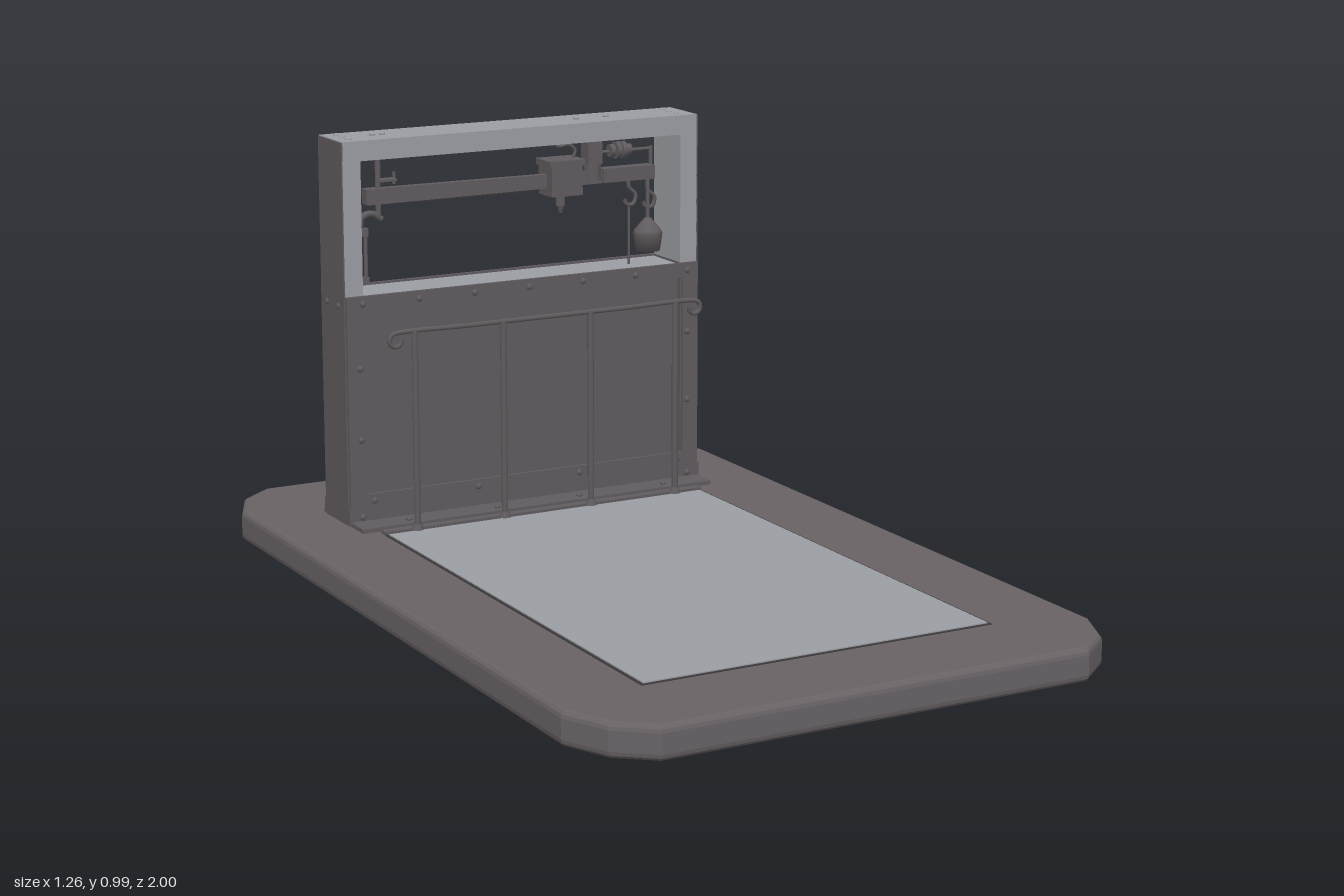
import * as THREE from 'three';

const V = (x, y, z) => new THREE.Vector3(x, y, z);

export function createModel() {
  const root = new THREE.Group();
  root.name = 'platformScale';
  const mat = (name, color) => {
    const m = new THREE.MeshStandardMaterial({ color });
    m.name = name;
    return m;
  };
  const stone = mat('base grey', 0x686265);
  const iron = mat('dark iron', 0x605b5e);
  const steel = mat('bright steel', 0x9a9da3);
  const seam = mat('seam', 0x3c393b);

  const add = (name, geo, m, x = 0, y = 0, z = 0, parent = root) => {
    const mesh = new THREE.Mesh(geo, m);
    mesh.name = name;
    mesh.position.set(x, y, z);
    parent.add(mesh);
    return mesh;
  };
  // box given by its limits
  const box = (name, m, x0, x1, y0, y1, z0, z1) =>
    add(name, new THREE.BoxGeometry(x1 - x0, y1 - y0, z1 - z0), m, (x0 + x1) / 2, (y0 + y1) / 2, (z0 + z1) / 2);
  const tube = (name, pts, r, m = iron, seg = 24) =>
    add(name, new THREE.TubeGeometry(new THREE.CatmullRomCurve3(pts), seg, r, 6), m);
  const rod = (name, x, y0, y1, z, r, m = iron) =>
    add(name, new THREE.CylinderGeometry(r, r, y1 - y0, 8), m, x, (y0 + y1) / 2, z);
  const rivet = (x, y, z, axis, m = iron) => {
    const r = add('rivet', new THREE.SphereGeometry(0.008, 8, 5), m, x, y, z);
    r.scale[axis] = 0.7;
  };

  // rounded slab
  const outline = new THREE.Shape();
  const corner = [[0.62, 0.82], [0.575, 0.92], [0.5, 0.98]];
  const ring = [
    ...corner,
    ...corner.map(([x, y]) => [-x, y]).reverse(),
    ...corner.map(([x, y]) => [-x, -y]),
    ...corner.map(([x, y]) => [x, -y]).reverse(),
  ];
  outline.setFromPoints(ring.map(([x, y]) => new THREE.Vector2(x, y)));
  const slab = new THREE.ExtrudeGeometry(outline, {
    depth: 0.043, bevelEnabled: true, bevelThickness: 0.016, bevelSize: 0.014, bevelSegments: 3,
  });
  slab.rotateX(-Math.PI / 2);
  add('base', slab, stone, 0, 0.016, 0).scale.set(0.995, 1, 1.006);

  // weighing plate with a dark gap around it
  box('plateGap', seam, -0.421, 0.419, 0.07, 0.0765, -0.466, 0.771);
  box('weighingPlate', steel, -0.414, 0.412, 0.07, 0.079, -0.458, 0.764);

  // frame
  const [L, R, B, F] = [-0.46, 0.468, -0.71, -0.578];
  for (const [x0, x1, o0, o1] of [[L, L + 0.045, L - 0.003, L + 0.001], [R - 0.045, R, R - 0.001, R + 0.003]]) {
    box('post', steel, x0, x1, 0.62, 0.935, B, F);
    box('lowerPost', iron, x0, x1, 0.075, 0.62, B, F);
    box('sidePlate', iron, o0, o1, 0.075, 0.978, B, F);
  }
  box('topBeam', steel, L, R, 0.933, 0.98, B, F);
  box('shelf', steel, L + 0.045, R - 0.045, 0.6, 0.615, B, F);

  // lower cabinet with recessed panels and raised trim
  box('cabinetPanel', iron, L + 0.02, R - 0.02, 0.08, 0.6, B + 0.012, F - 0.012);
  for (const [z0, z1, out] of [[F, F + 0.008, F + 0.01], [B - 0.008, B, B - 0.01]]) {
    box('upperTrim', iron, L, R, 0.585, 0.62, z0, z1);
    box('lowerTrim', iron, L, R, 0.115, 0.148, z0, z1);
    box('footTrim', iron, L - 0.003, R + 0.005, 0.078, 0.115, z0, z1);
    box('leftTrim', iron, L, L + 0.042, 0.115, 0.6, z0, z1);
    box('rightTrim', iron, R - 0.042, R, 0.115, 0.6, z0, z1);
    for (let i = 0; i < 7; i++) rivet(-0.42 + i * 0.143, 0.602, out, 'z');
    for (let i = 0; i < 4; i++) rivet(-0.4 + i * 0.27, 0.132, out, 'z');
    for (const x of [L + 0.03, R - 0.03]) for (const y of [0.095, 0.28, 0.45]) rivet(x, y, out, 'z');
  }
  box('frontFlange', iron, L, R, 0.07, 0.085, F, -0.502);
  box('backFlange', iron, L, R, 0.07, 0.083, -0.728, B);
  for (const x of [-0.33, -0.1, 0.12, 0.35]) rivet(x, 0.087, -0.53, 'y');
  for (const x of [L + 0.03, R - 0.04]) for (const z of [-0.68, -0.645, -0.61]) rivet(x, 0.98, z, 'y', steel);
  for (const x of [-0.355, -0.33, 0.175, 0.255]) rivet(x, 0.982, -0.645, 'y', steel);
  for (const x of [L - 0.003, R + 0.003]) for (const z of [-0.675, -0.61]) rivet(x, 0.595, z, 'x');

  // hand rail with scrolled ends
  const rz = -0.465;
  const railPath = [];
  const scroll = (cx, side) => {
    const pts = [];
    for (let i = 0; i <= 8; i++) {
      const a = Math.PI / 2 - i * Math.PI * 0.19;
      const r = 0.018 - i * 0.0006;
      pts.push(V(cx + side * Math.cos(a) * r, 0.532 + Math.sin(a) * r, rz));
    }
    return pts;
  };
  railPath.push(...scroll(-0.385, -1).reverse(), V(-0.2, 0.55, rz), V(0, 0.55, rz), V(0.2, 0.55, rz), ...scroll(0.398, 1));
  tube('handRail', railPath, 0.006, iron, 120);
  for (const x of [-0.338, -0.112, 0.117, 0.346]) {
    rod('railPost', x, 0.078, 0.55, rz, 0.008);
    add('railFoot', new THREE.CylinderGeometry(0.009, 0.015, 0.016, 10), iron, x, 0.085, rz);
  }
  box('railSill', iron, -0.42, 0.42, 0.072, 0.083, -0.488, -0.466);

  // balance beam, tapering to the left
  const z = -0.645;
  const bar = new THREE.BoxGeometry(0.76, 0.038, 0.018);
  const p = bar.attributes.position;
  for (let i = 0; i < p.count; i++) if (p.getX(i) > 0) p.setY(i, p.getY(i) * 0.8);
  add('balanceBeam', bar, iron, 0.005, 0.837, z);
  for (let i = 0; i < 30; i++) box('beamNotch', seam, -0.25 + i * 0.011, -0.245 + i * 0.011, 0.815, 0.822, z - 0.006, z + 0.006);
  box('beamTip', iron, -0.378, -0.345, 0.82, 0.856, z - 0.014, z + 0.014);
  box('beamHead', iron, 0.24, 0.38, 0.822, 0.856, z - 0.016, z + 0.016);

  // sliding poise
  box('poise', iron, 0.092, 0.174, 0.802, 0.884, z - 0.035, z + 0.035);
  box('poiseCap', iron, 0.086, 0.18, 0.873, 0.888, z - 0.038, z + 0.038);
  rod('poiseStem', 0.132, 0.775, 0.805, z, 0.012);
  add('poiseTip', new THREE.CylinderGeometry(0.011, 0.004, 0.022, 8), iron, 0.132, 0.768, z);
  tube('poiseWire', [V(0.11, 0.93, z), V(0.125, 0.918, z), V(0.155, 0.92, z), V(0.172, 0.905, z), V(0.165, 0.885, z)], 0.004);

  // pivot bracket and counterweight
  box('pivotHanger', iron, 0.198, 0.236, 0.87, 0.935, z - 0.02, z + 0.02);
  rod('pivotStem', 0.218, 0.83, 0.88, z, 0.022);
  const screw = rod('counterScrew', 0.3, 0.82, 0.97, z, 0.004);
  screw.rotation.z = Math.PI / 2;
  screw.position.y = 0.895;
  for (const [x, r] of [[0.27, 0.016], [0.285, 0.021], [0.3, 0.021], [0.315, 0.014]]) {
    const disc = add('counterweight', new THREE.CylinderGeometry(r, r, 0.012, 12), iron, x, 0.897, z);
    disc.rotation.z = Math.PI / 2;
  }
  rod('screwSupport', 0.378, 0.835, 0.9, z, 0.005);

  // hooks, hanging rods and bell weight
  const hook = (x, y) => tube('hook', [V(x, y + 0.05, z), V(x, y + 0.02, z), V(x + 0.018, y, z),
    V(x + 0.012, y - 0.022, z), V(x - 0.006, y - 0.022, z), V(x - 0.014, y - 0.008, z)], 0.005);
  hook(0.318, 0.785);
  rod('hangingRod', 0.318, 0.615, 0.765, z, 0.003);
  hook(0.37, 0.775);
  rod('weightRod', 0.37, 0.71, 0.83, z, 0.005);
  const bell = [[0, 0], [0.03, 0], [0.036, 0.042], [0.033, 0.05], [0.018, 0.068], [0.007, 0.08], [0, 0.083]];
  add('bellWeight', new THREE.LatheGeometry(bell.map(([x, y]) => new THREE.Vector2(x, y)), 20), iron, 0.37, 0.645, z);

  // beam guide and link at the far end
  rod('guideRod', -0.343, 0.785, 0.935, z, 0.007);
  box('guideStop', iron, -0.345, -0.3, 0.87, 0.876, z - 0.012, z + 0.012);
  rod('guidePin', -0.302, 0.862, 0.89, z, 0.004);
  tube('guideArm', [V(-0.335, 0.782, z), V(-0.36, 0.797, z), V(-0.385, 0.79, z), V(-0.39, 0.77, z)], 0.008);
  for (const x of [-0.405, -0.377]) rod('linkSide', x, 0.64, 0.755, z, 0.005);
  for (const y of [0.64, 0.755]) box('linkEnd', iron, -0.41, -0.372, y - 0.009, y + 0.009, z - 0.008, z + 0.008);
  rod('linkStem', -0.391, 0.61, 0.78, z, 0.005);

  return root;
}
